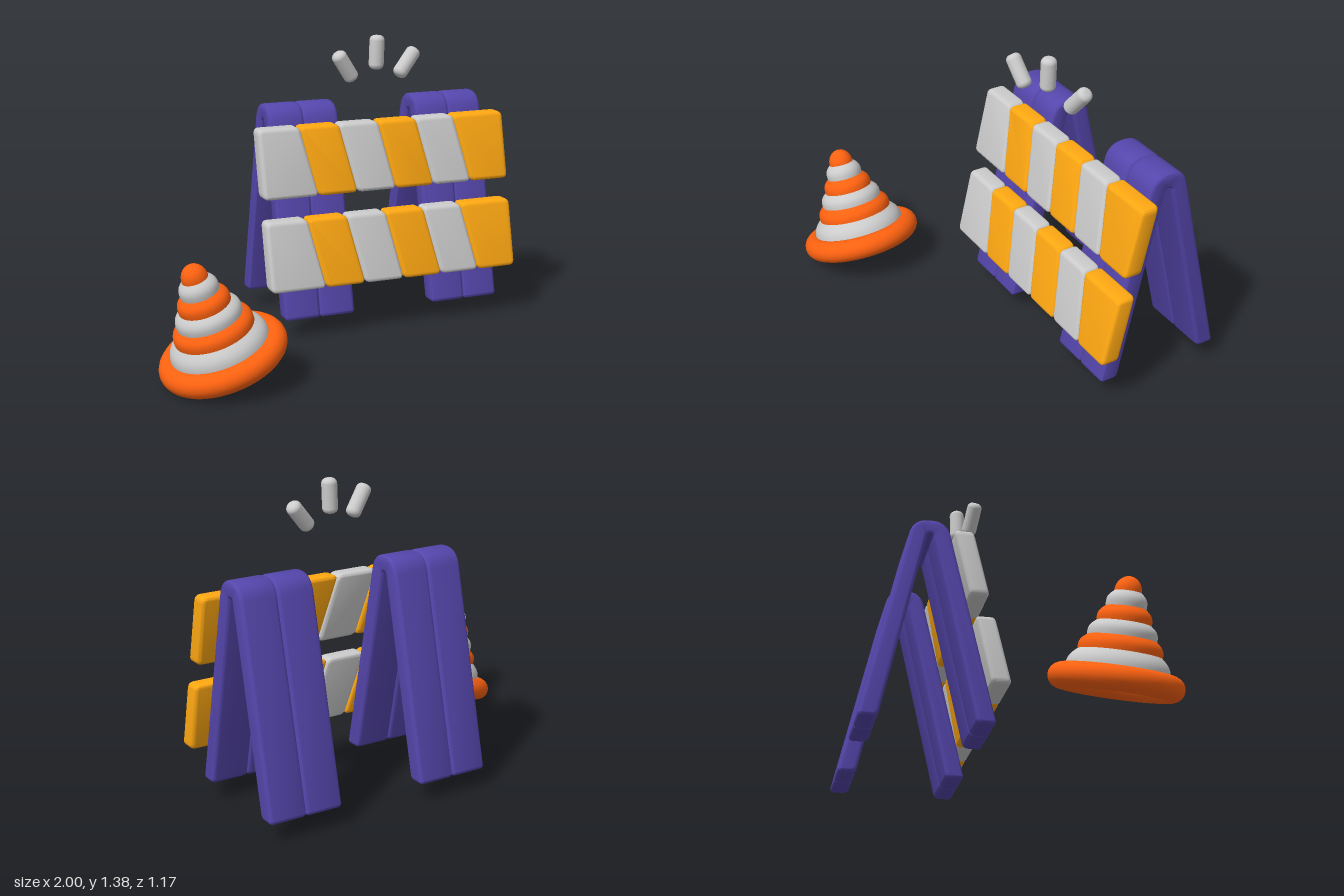
import * as THREE from 'three';
import { toCreasedNormals } from 'three/addons/utils/BufferGeometryUtils.js';

const paint = (color) => new THREE.MeshStandardMaterial({ color });
const grey = paint(0xcccccc);
const yellow = paint(0xffa812);
const orange = paint(0xff6210);
const purple = paint(0x5546ac);
const V2 = (x, y) => new THREE.Vector2(x, y);

function addMesh(parent, name, geometry, material) {
  const mesh = new THREE.Mesh(geometry, material);
  mesh.name = name;
  parent.add(mesh);
  return mesh;
}

// Closed polygon with rounded corners; each point is [x, y, radius]
function roundedShape(points) {
  const shape = new THREE.Shape();
  const n = points.length;
  points.forEach(([x, y, r], i) => {
    const p = V2(x, y);
    const a = V2(...points[(i + n - 1) % n]).sub(p).setLength(r).add(p);
    const b = V2(...points[(i + 1) % n]).sub(p).setLength(r).add(p);
    if (i === 0) shape.moveTo(a.x, a.y);
    else shape.lineTo(a.x, a.y);
    shape.quadraticCurveTo(x, y, b.x, b.y);
  });
  shape.closePath();
  return shape;
}

// Slab with soft edges, starting at z = 0 and growing to z = thickness
function softSlab(points, thickness, bevel) {
  const geometry = new THREE.ExtrudeGeometry(roundedShape(points), {
    depth: thickness - 2 * bevel,
    bevelThickness: bevel,
    bevelSize: bevel,
    bevelOffset: -bevel,
    bevelSegments: 4,
    curveSegments: 8,
  });
  geometry.translate(0, 0, bevel);
  return geometry;
}

const LEAN = 0.2327; // how far the legs lean back per unit of height
const FOOT_Y = 0.085;
const FOOT_Z = 0.052;

// One bent plank forming an inverted V
function makeTrestlePlank(width) {
  const half = 0.306, top = 1.06;
  const right = [
    [half - 0.09, FOOT_Y, 0.025],
    [half, FOOT_Y, 0.025],
    [half - LEAN * (top - FOOT_Y), top, 0.075],
  ];
  const left = right.map(([x, y, r]) => [-x, y, r]).reverse();
  const inner = [[-0.012, 0.985, 0.011], [0.012, 0.985, 0.011]];
  const geometry = softSlab([...right, ...left, ...inner], width, 0.018);
  geometry.rotateY(Math.PI / 2);
  geometry.translate(0, 0, FOOT_Z - half);
  return toCreasedNormals(geometry, 0.6);
}

// One slanted board tile, sheared to lie flat against the leaning legs
function makeBoardTile(b0, b1, t0, t1, y0, y1) {
  const r = 0.028;
  const geometry = softSlab([[b0, y0, r], [b1, y0, r], [t1, y1, r], [t0, y1, r]], 0.088, 0.018);
  const pos = geometry.attributes.position;
  for (let i = 0; i < pos.count; i++) {
    pos.setZ(i, pos.getZ(i) + FOOT_Z - 0.002 - LEAN * (pos.getY(i) - FOOT_Y));
  }
  return toCreasedNormals(geometry, 0.6);
}

function makeBarrier() {
  const barrier = new THREE.Group();
  barrier.name = 'barrier';

  // Two trestles, each of two planks side by side
  for (const start of [-0.2, 0.552]) {
    const trestle = new THREE.Group();
    trestle.name = 'trestle';
    for (let i = 0; i < 2; i++) {
      addMesh(trestle, 'trestlePlank', makeTrestlePlank(0.175), purple).position.x = start + i * 0.173;
    }
    barrier.add(trestle);
  }

  // Two striped boards
  for (const [name, y0] of [['lowerBoard', 0.243], ['upperBoard', 0.658]]) {
    const board = new THREE.Group();
    board.name = name;
    const edge = (k, offset) => (k === 0 ? -0.285 : k === 6 ? 0.973 : offset + 0.197 * (k - 1));
    for (let k = 0; k < 6; k++) {
      const geometry = makeBoardTile(
        edge(k, -0.015), edge(k + 1, -0.015), edge(k, -0.082), edge(k + 1, -0.082), y0, y0 + 0.317);
      addMesh(board, 'boardTile', geometry, k % 2 ? yellow : grey);
    }
    barrier.add(board);
  }

  barrier.rotation.y = -0.227;
  return barrier;
}

function makeCone() {
  const cone = new THREE.Group();
  cone.name = 'trafficCone';

  // Thick rounded rim
  const rim = addMesh(cone, 'coneRim', new THREE.TorusGeometry(0.232, 0.053, 20, 64), orange);
  rim.rotation.x = Math.PI / 2;
  rim.position.y = 0.053;

  // Recessed underside
  const under = new THREE.LatheGeometry([V2(0.21, 0.05), V2(0.17, 0.075), V2(0.09, 0.095), V2(0, 0.1)], 48);
  addMesh(cone, 'coneUnderside', under, new THREE.MeshStandardMaterial({ color: 0xff6210, side: THREE.DoubleSide }));

  // Slightly puffed bands, alternating in colour
  const heights = [0.09, 0.172, 0.236, 0.3, 0.365, 0.432];
  const radii = [0.22, 0.177, 0.146, 0.115, 0.085, 0.058];
  for (let i = 0; i < 5; i++) {
    const profile = [];
    for (let j = 0; j <= 8; j++) {
      const t = j / 8;
      const bulge = 0.011 * Math.sin(Math.PI * t);
      profile.push(V2(
        THREE.MathUtils.lerp(radii[i], radii[i + 1], t) + bulge,
        THREE.MathUtils.lerp(heights[i], heights[i + 1], t) + bulge * 0.4));
    }
    addMesh(cone, 'coneBand', new THREE.LatheGeometry(profile, 48), i % 2 ? orange : grey);
  }

  // Rounded tip
  const tip = [];
  for (let j = 0; j <= 10; j++) {
    const a = (j / 10) * Math.PI / 2;
    tip.push(V2(0.058 * Math.cos(a), 0.432 + 0.067 * Math.sin(a)));
  }
  addMesh(cone, 'coneTip', new THREE.LatheGeometry(tip, 48), orange);

  cone.position.set(-0.711, 0.083, 0.298);
  cone.rotation.z = THREE.MathUtils.degToRad(20);
  return cone;
}

// Short round stick with softened ends
function makeDash() {
  const radius = 0.035, half = 0.079, soft = 0.024;
  const profile = [V2(0, -half)];
  for (const side of [-1, 1]) {
    for (let j = 0; j <= 6; j++) {
      const a = ((side < 0 ? j - 6 : j) / 6) * Math.PI / 2;
      profile.push(V2(radius - soft + soft * Math.cos(a), side * (half - soft) + soft * Math.sin(a)));
    }
  }
  profile.push(V2(0, half));
  return new THREE.LatheGeometry(profile, 32);
}

export function createModel() {
  const model = new THREE.Group();
  model.name = 'roadworkSet';
  model.add(makeBarrier(), makeCone());

  // Three dashes fanned out above the barrier
  for (const [x, y, degrees] of [[0.11, 1.255, 35], [0.29, 1.305, -2], [0.467, 1.243, -41]]) {
    const dash = addMesh(model, 'accentDash', makeDash(), grey);
    dash.position.set(x, y, 0.023);
    dash.rotation.z = THREE.MathUtils.degToRad(degrees);
  }
  return model;
}
